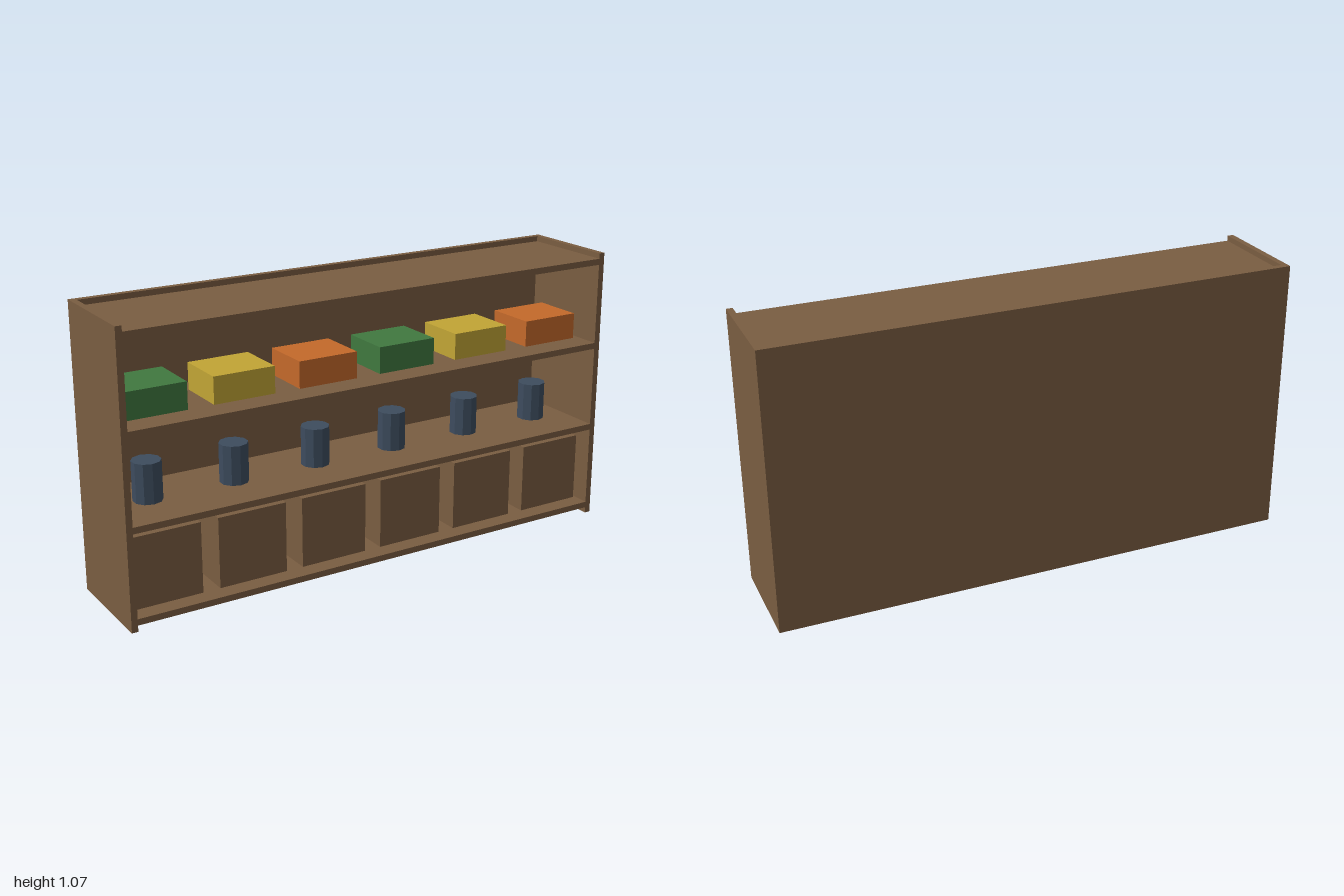
import * as THREE from 'three';

const mat = (name, color) => {
  const m = new THREE.MeshStandardMaterial({ color });
  m.name = name;
  return m;
};

export function createModel() {
  const group = new THREE.Group();
  const wood = mat('brown wood', 0x7a5d41);
  const slate = mat('slate blue', 0x3d4c5e);
  const boxColours = [
    mat('green', 0x40783f),
    mat('yellow', 0xc2a535),
    mat('orange', 0xc4692a),
  ];

  const W = 2, H = 1.067, D = 0.4, T = 0.0235;
  const pitch = 0.3333;

  const add = (name, geometry, material, x, y, z) => {
    const mesh = new THREE.Mesh(geometry, material);
    mesh.name = name;
    mesh.position.set(x, y, z);
    group.add(mesh);
  };

  // Carcass: two sides and a back panel
  const side = new THREE.BoxGeometry(T, H, D);
  add('leftSide', side, wood, W / 2 - T / 2, H / 2, 0);
  add('rightSide', side, wood, -W / 2 + T / 2, H / 2, 0);
  add('backPanel', new THREE.BoxGeometry(W - 2 * T, H, T), wood, 0, H / 2, -D / 2 + T / 2);

  // Four shelves, with the first as the floor and the last as the top
  const shelf = new THREE.BoxGeometry(W - 2 * T, T, D - T);
  const shelfTop = (i) => 0.0465 + i * pitch;
  for (let i = 0; i < 4; i++) add('shelf', shelf, wood, 0, shelfTop(i) - T / 2, T / 2);

  // Six columns of contents: bins, jars and coloured boxes
  const bin = new THREE.BoxGeometry(0.267, 0.267, 0.267);
  const jar = new THREE.CylinderGeometry(0.0533, 0.0533, 0.147, 10).toNonIndexed();
  jar.computeVertexNormals();
  const box = new THREE.BoxGeometry(0.236, 0.1, 0.2);
  for (let i = 0; i < 6; i++) {
    const x = (i - 2.5) * pitch;
    add('storageBin', bin, wood, x, shelfTop(0) + 0.1335, 0);
    add('jar', jar, slate, x, shelfTop(1) + 0.0735, 0);
    add('colouredBox', box, boxColours[i % 3], x, shelfTop(2) + 0.05, 0);
  }

  return group;
}
